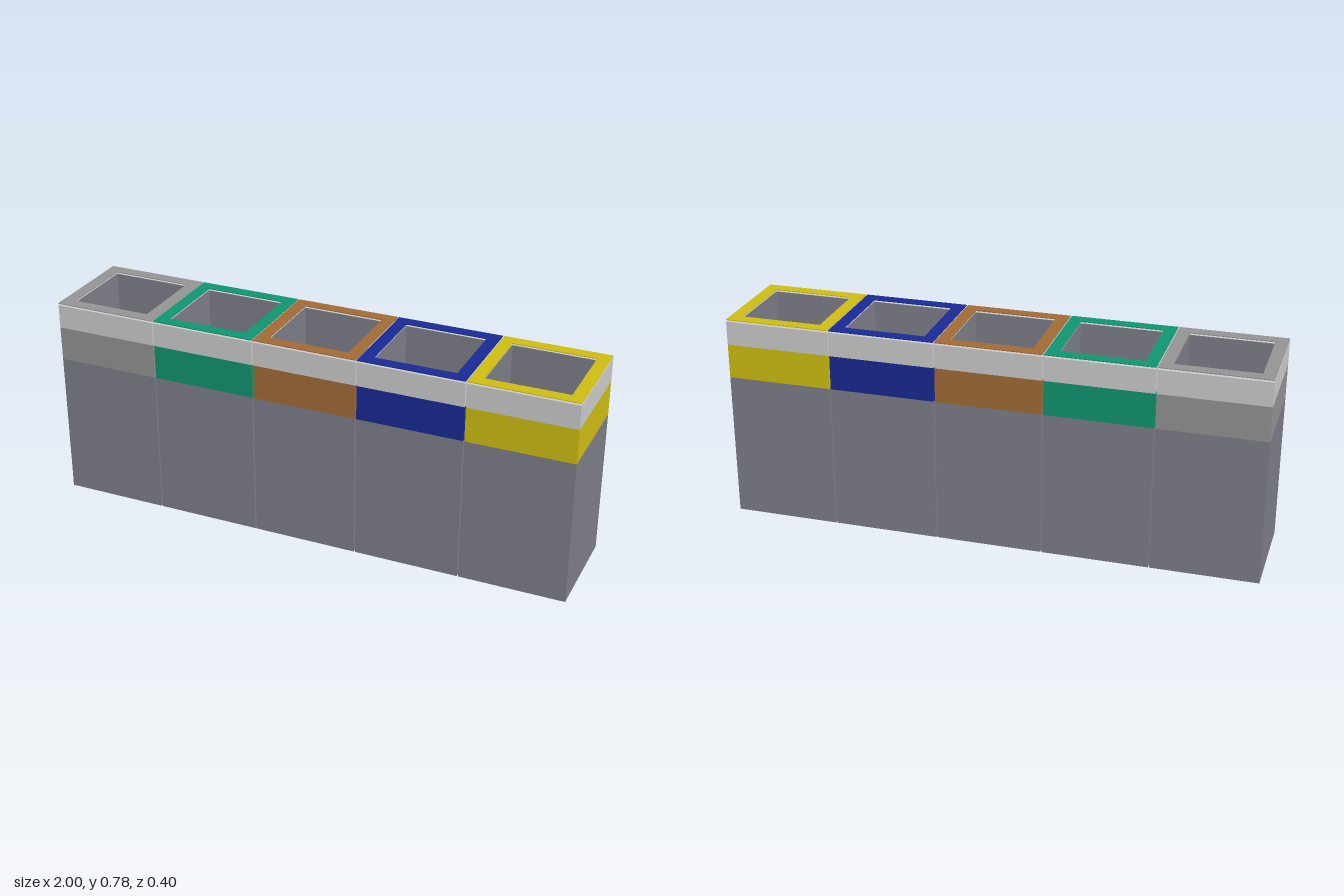
import * as THREE from 'three';

const WIDTH = 0.396, HOLE = 0.305, PITCH = 0.401;
const mat = (color) => new THREE.MeshStandardMaterial({ color });

function squarePath(path, size) {
  const h = size / 2;
  path.moveTo(-h, -h);
  path.lineTo(h, -h);
  path.lineTo(h, h);
  path.lineTo(-h, h);
  path.closePath();
  return path;
}

// Upright square tube from y0 to y1
function ring(name, outer, inner, y0, y1, material) {
  const shape = squarePath(new THREE.Shape(), outer);
  shape.holes.push(squarePath(new THREE.Path(), inner));
  const geo = new THREE.ExtrudeGeometry(shape, { depth: y1 - y0, bevelEnabled: false });
  geo.rotateX(-Math.PI / 2);
  geo.translate(0, y0, 0);
  const mesh = new THREE.Mesh(geo, material);
  mesh.name = name;
  return mesh;
}

function slab(name, size, y0, y1, material) {
  const mesh = new THREE.Mesh(new THREE.BoxGeometry(size, y1 - y0, size), material);
  mesh.position.y = (y0 + y1) / 2;
  mesh.name = name;
  return mesh;
}

export function createModel() {
  const model = new THREE.Group();
  model.name = 'recyclingBins';
  const bodyMat = mat(0x7d7d88);
  const lightMat = mat(0xcccccc);
  const colors = [0x939393, 0x109470, 0xa16b35, 0x182993, 0xcebd12];

  colors.forEach((color, i) => {
    const bin = new THREE.Group();
    bin.name = 'bin' + (i + 1);
    bin.position.x = (i - 2) * PITCH;
    const accent = mat(color);
    bin.add(
      // Hollow body with its bottom and a pale inner floor
      ring('body', WIDTH, HOLE, 0, 0.55, bodyMat),
      slab('bottom', HOLE, 0, 0.03, bodyMat),
      slab('innerFloor', HOLE, 0.03, 0.04, lightMat),
      // Inner lining behind the two upper bands
      ring('lining', HOLE + 0.006, HOLE, 0.55, 0.77, bodyMat),
      ring('colorBand', WIDTH, HOLE + 0.006, 0.55, 0.68, accent),
      ring('upperBand', WIDTH, HOLE + 0.006, 0.68, 0.77, lightMat),
      // Thin rim frame held just above the body
      ring('rimFrame', WIDTH, HOLE, 0.776, 0.779, accent),
    );
    model.add(bin);
  });
  return model;
}
